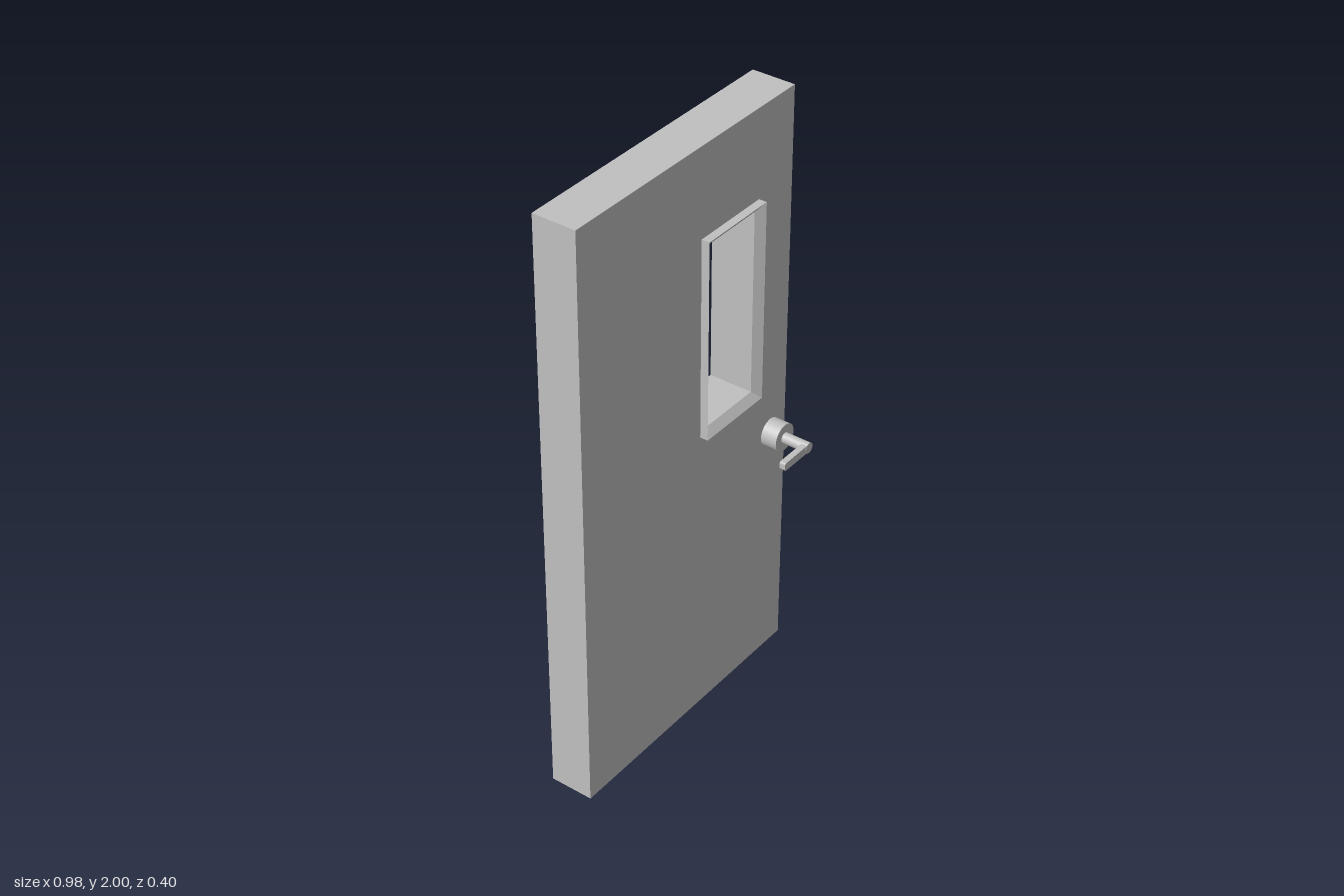
import * as THREE from 'three';

const BACK = -0.09, FRONT = 0.055;          // door faces
const WIN = { x0: 0.055, x1: 0.327, y0: 1.03, y1: 1.705 };

// Rectangle of the window, shrunk by an inset, counter-clockwise from the front
function windowCorners(inset) {
  const a = WIN.x0 + inset, b = WIN.x1 - inset, c = WIN.y0 + inset, d = WIN.y1 - inset;
  return [[a, c], [b, c], [b, d], [a, d]];
}

// Rectangular sleeve swept through [inset, z] steps, with hard edges
function sleeveGeometry(steps) {
  const rings = steps.map(([inset, z]) => windowCorners(inset).map(([x, y]) => [x, y, z]));
  const pos = [];
  for (let k = 0; k < rings.length - 1; k++) {
    for (let i = 0; i < 4; i++) {
      const j = (i + 1) % 4;
      const a = rings[k][i], b = rings[k][j], c = rings[k + 1][j], d = rings[k + 1][i];
      pos.push(...a, ...b, ...c, ...a, ...c, ...d);
    }
  }
  const g = new THREE.BufferGeometry();
  g.setAttribute('position', new THREE.Float32BufferAttribute(pos, 3));
  g.computeVertexNormals();
  return g;
}

export function createModel() {
  const model = new THREE.Group();
  model.name = 'door';
  const grey = new THREE.MeshStandardMaterial({ color: 0xc0c0c0 });
  grey.name = 'grey metal';

  const add = (parent, name, geometry) => {
    const mesh = new THREE.Mesh(geometry, grey);
    mesh.name = name;
    parent.add(mesh);
    return mesh;
  };

  // Door slab with the window cut out
  const slab = new THREE.Shape([[-0.49, 0], [0.49, 0], [0.49, 2], [-0.49, 2]].map(p => new THREE.Vector2(...p)));
  slab.holes.push(new THREE.Path(windowCorners(0.015).reverse().map(p => new THREE.Vector2(...p))));
  const slabGeo = new THREE.ExtrudeGeometry(slab, { depth: FRONT - BACK, bevelEnabled: false });
  slabGeo.translate(0, 0, BACK);
  add(model, 'slab', slabGeo);

  // Window frame: raised rim on both faces, sloping in to the straight opening
  add(model, 'windowFrame', sleeveGeometry([
    [0, FRONT], [0, 0.082], [0.027, 0.06],
    [0.027, -0.088], [0, -0.108], [0, BACK],
  ]));

  // Lever handles on both faces
  const cylinder = (r, z0, z1) => {
    const g = new THREE.CylinderGeometry(r, r, Math.abs(z1 - z0), 32);
    g.rotateX(Math.PI / 2);
    g.translate(0, 0, (z0 + z1) / 2);
    return g;
  };
  const leverShape = new THREE.Shape();
  leverShape.moveTo(0, -0.014);
  leverShape.lineTo(0, 0.014);
  leverShape.lineTo(-0.117, 0.014);
  leverShape.quadraticCurveTo(-0.125, 0.014, -0.125, 0.006);
  leverShape.lineTo(-0.125, -0.006);
  leverShape.quadraticCurveTo(-0.125, -0.014, -0.117, -0.014);

  for (const [name, face, rose, side] of [
    ['frontHandle', FRONT, 0.11, 1], ['backHandle', BACK, -0.115, -1],
  ]) {
    const handle = new THREE.Group();
    handle.name = name;
    handle.position.set(0.413, 0.845, 0);
    add(handle, 'rose', cylinder(0.047, face, rose));
    add(handle, 'spindle', cylinder(0.018, rose, 0.2 * side));
    const lever = new THREE.ExtrudeGeometry(leverShape, { depth: 0.02, bevelEnabled: false, curveSegments: 4 });
    lever.translate(0, 0, side > 0 ? 0.179 : -0.199);
    add(handle, 'lever', lever);
    model.add(handle);
  }
  return model;
}
